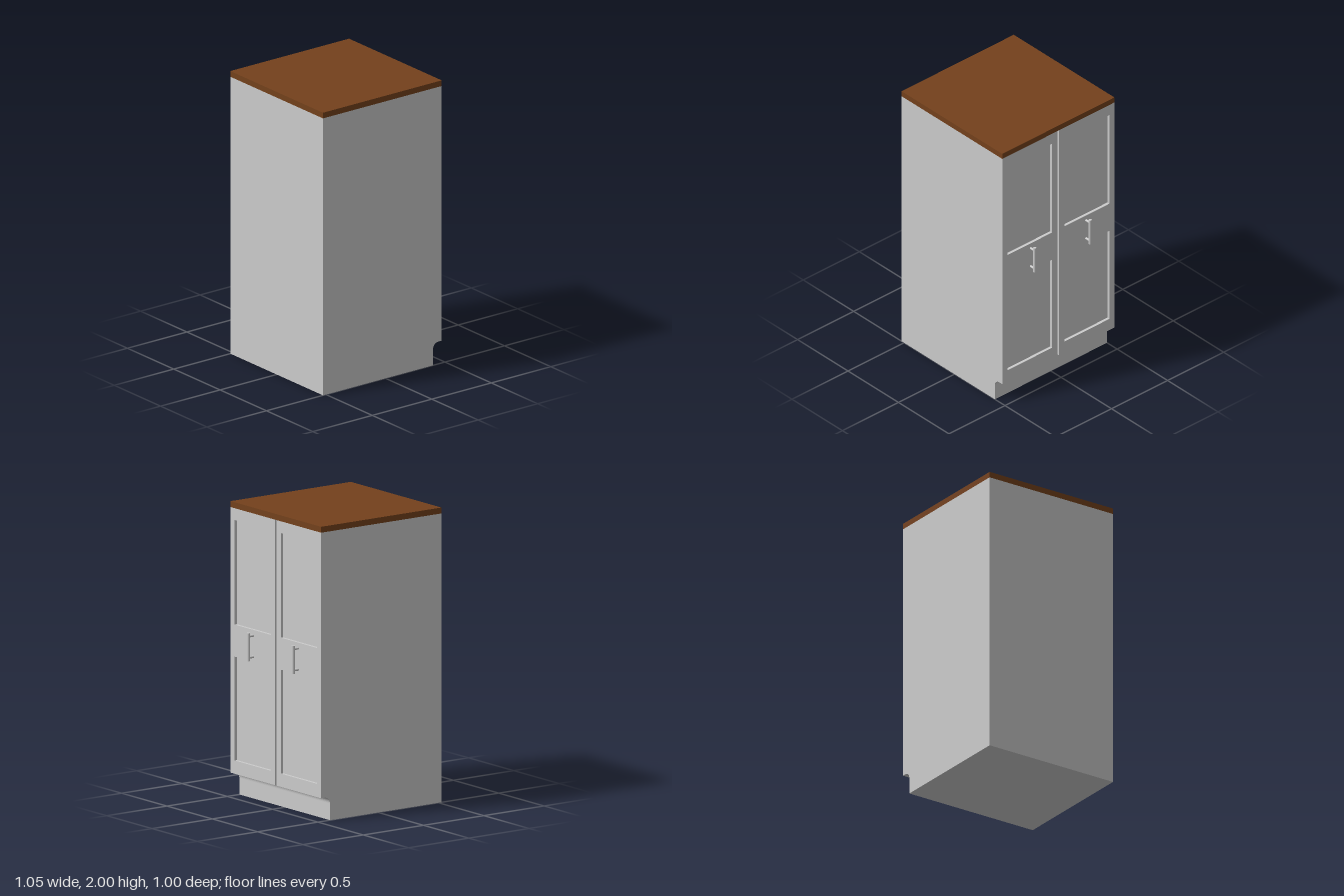
import * as THREE from 'three';

const grey = new THREE.MeshStandardMaterial({ color: 0xcccccc });
const wood = new THREE.MeshStandardMaterial({ color: 0x74411c });

const BACK = -0.525, FRONT = 0.473, DOOR = 0.02; // doors face +x
const TOP = 1.96, DOOR_BOTTOM = 0.158;

function add(parent, name, geometry, material = grey) {
  const mesh = new THREE.Mesh(geometry, material);
  mesh.name = name;
  parent.add(mesh);
  return mesh;
}

// Cabinet side profile with a coved toe kick, extruded across the width
function carcassGeometry() {
  const face = FRONT - DOOR, kick = 0.4, r = 0.045;
  const s = new THREE.Shape();
  s.moveTo(BACK, 0);
  s.lineTo(kick, 0);
  s.lineTo(kick, DOOR_BOTTOM - r);
  s.absarc(kick + r, DOOR_BOTTOM - r, r, Math.PI, Math.PI / 2, true);
  s.lineTo(face, DOOR_BOTTOM);
  s.lineTo(face, TOP);
  s.lineTo(BACK, TOP);
  s.closePath();
  return new THREE.ExtrudeGeometry(s, { depth: 1, bevelEnabled: false, curveSegments: 8 }).translate(0, 0, -0.5);
}

function rect(path, x0, y0, x1, y1) {
  path.moveTo(x0, y0);
  path.lineTo(x1, y0);
  path.lineTo(x1, y1);
  path.lineTo(x0, y1);
  path.closePath();
  return path;
}

// Door frame with two recessed panel openings; shape x runs along z
function doorGeometry(side) {
  const span = (a, b) => (side > 0 ? [-b, -a] : [a, b]);
  const [a, b] = span(0.007, 0.5);
  const [c, d] = span(0.055, 0.455);
  const s = rect(new THREE.Shape(), a, DOOR_BOTTOM, b, TOP);
  for (const [y0, y1] of [[0.248, 0.953], [1.17, 1.88]]) s.holes.push(rect(new THREE.Path(), c, y0, d, y1));
  return new THREE.ExtrudeGeometry(s, { depth: DOOR, bevelEnabled: false })
    .rotateY(Math.PI / 2).translate(FRONT - DOOR, 0, 0);
}

// Bar handle on two round posts
function makeHandle(z) {
  const handle = new THREE.Group();
  handle.name = 'handle';
  const barX = 0.514;
  add(handle, 'handleBar', new THREE.CylinderGeometry(0.011, 0.011, 0.19, 20)).position.set(barX, 1.06, 0);
  for (const y of [0.988, 1.132]) {
    const post = add(handle, 'handlePost', new THREE.CylinderGeometry(0.008, 0.008, barX - FRONT + 0.005, 16));
    post.rotation.z = Math.PI / 2;
    post.position.set((barX + FRONT - 0.005) / 2, y, 0);
  }
  handle.position.z = z;
  return handle;
}

export function createModel() {
  const cabinet = new THREE.Group();
  cabinet.name = 'cabinet';
  add(cabinet, 'carcass', carcassGeometry());

  // Wooden worktop
  add(cabinet, 'worktop', new THREE.BoxGeometry(FRONT - BACK, 2 - TOP, 1), wood)
    .position.set((FRONT + BACK) / 2, (2 + TOP) / 2, 0);

  // Pair of doors with handles
  for (const side of [1, -1]) {
    add(cabinet, side > 0 ? 'leftDoor' : 'rightDoor', doorGeometry(side));
    cabinet.add(makeHandle(side * 0.247));
  }
  return cabinet;
}
